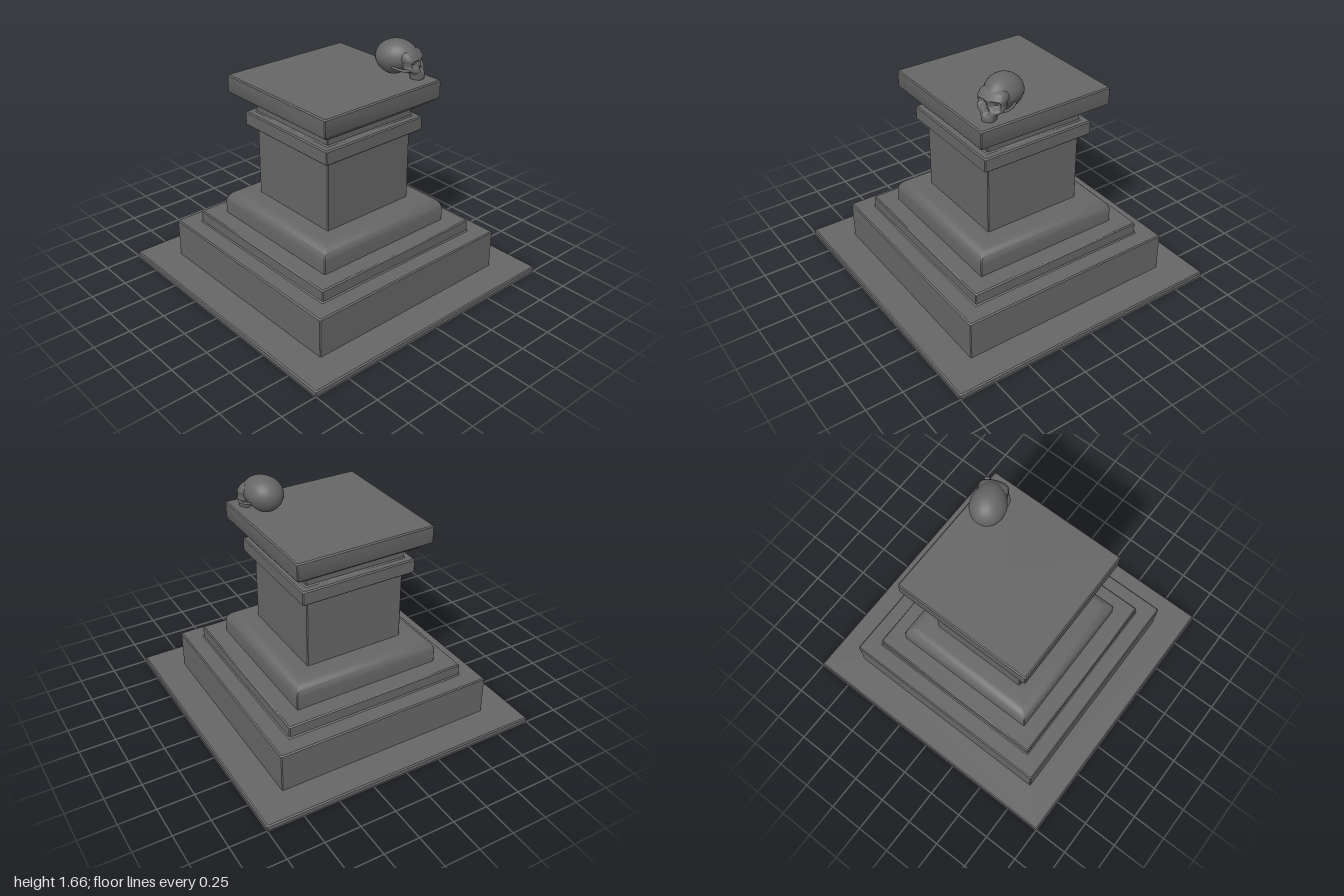
import * as THREE from 'three';
import { toCreasedNormals } from 'three/addons/utils/BufferGeometryUtils.js';

const stone = new THREE.MeshStandardMaterial({ color: 0x666666, side: THREE.DoubleSide });
stone.name = 'dark stone';

// Skin a stack of closed rings (each an array of [x, y, z]), from bottom to top
function loft(rings, crease) {
  const n = rings[0].length, index = [];
  for (let i = 0; i < rings.length - 1; i++) {
    for (let j = 0; j < n; j++) {
      const k = (j + 1) % n;
      const a = i * n + j, b = i * n + k, c = b + n, d = a + n;
      index.push(a, d, c, a, c, b);
    }
  }
  const geo = new THREE.BufferGeometry();
  geo.setAttribute('position', new THREE.Float32BufferAttribute(rings.flat(2), 3));
  geo.setIndex(index);
  return toCreasedNormals(geo, crease);
}

// Square ring with slightly chamfered corners
function squareRing([h, y]) {
  const s = h - Math.min(0.006, h);
  return [[h, s], [s, h], [-s, h], [-h, s], [-h, -s], [-s, -h], [s, -h], [h, -s]]
    .map(([x, z]) => [x, y, z]);
}

// Soften the inner points of a profile with small bevels
function bevel(profile, r) {
  return profile.flatMap((p, i) => {
    if (i === 0 || i === profile.length - 1) return [p];
    return [profile[i - 1], profile[i + 1]].map((q) => {
      const d = Math.hypot(q[0] - p[0], q[1] - p[1]);
      const t = Math.min(r / d, 0.4);
      return [p[0] + (q[0] - p[0]) * t, p[1] + (q[1] - p[1]) * t];
    });
  });
}

function add(parent, name, geo) {
  const mesh = new THREE.Mesh(geo, stone);
  mesh.name = name;
  parent.add(mesh);
  return mesh;
}

// Hollow pedestal sections as [half width, height]; each starts where the last ends
const sections = {
  basePlate: [[1, 0], [1, 0.035], [0.78, 0.035]],
  lowerSteps: [[0.78, 0.035], [0.78, 0.31], [0.655, 0.31], [0.655, 0.395], [0.53, 0.395]],
  shoulder: [[0.53, 0.395], [0.53, 0.495], [0.518, 0.523], [0.492, 0.553], [0.465, 0.565], [0.356, 0.565]],
  shaft: [[0.356, 0.565], [0.356, 1.065]],
  collar: [[0.356, 1.065], [0.413, 1.065], [0.413, 1.165], [0.36, 1.165], [0.36, 1.223]],
  capital: [[0.36, 1.223], [0.392, 1.228], [0.49, 1.3], [0.49, 1.42], [0, 1.42]],
};

// Cranium: an egg, narrower at the front, with a flattened, rising base
function craniumGeometry() {
  const geo = new THREE.SphereGeometry(1, 32, 24);
  const p = geo.attributes.position;
  for (let i = 0; i < p.count; i++) {
    const x = p.getX(i), y = p.getY(i), z = p.getZ(i);
    const low = y < 0 ? 0.122 - 0.035 * THREE.MathUtils.smoothstep(z, -0.3, 0.7) : 0.118;
    const width = 0.118 * (1 - 0.13 * z - 0.05 * z * z) * (y < 0 ? 1 + 0.16 * y : 1);
    p.setXYZ(i, x * width, 0.127 + y * low, -0.01 + z * 0.147);
  }
  geo.computeVertexNormals();
  return geo;
}

// Face: stacked rings [y, half width, front z, back z] with dents for sockets and nose
function faceGeometry() {
  const rows = [
    [0.004, 0.001, 0.13, 0.12], [0.004, 0.042, 0.176, 0.09], [0.028, 0.046, 0.178, 0.085],
    [0.048, 0.055, 0.172, 0.07], [0.064, 0.082, 0.164, 0.06], [0.08, 0.093, 0.158, 0.05],
    [0.1, 0.09, 0.156, 0.04], [0.12, 0.092, 0.156, 0.03], [0.138, 0.097, 0.153, 0.02],
    [0.152, 0.095, 0.143, 0.02], [0.175, 0.085, 0.126, 0.02], [0.2, 0.04, 0.08, 0.02],
  ];
  const curve = (k) => new THREE.CatmullRomCurve3(
    rows.map((r) => new THREE.Vector3(r[0], r[k], 0)), false, 'centripetal');
  const curves = [1, 2, 3].map(curve);
  const dent = (x, y, cx, cy, rx, ry, depth) =>
    depth * Math.exp(-(((x - cx) / rx) ** 4) - ((y - cy) / ry) ** 4);
  const rings = [];
  for (let i = 0; i <= 33; i++) {
    const t = i / 33;
    const [w, f, b] = curves.map((c) => c.getPoint(t).y);
    const y = Math.max(curves[0].getPoint(t).x, 0.002);
    const ring = [];
    for (let j = 0; j < 48; j++) {
      const a = (j / 48) * Math.PI * 2, c = Math.cos(a), s = Math.sin(a);
      const x = w * Math.sign(c) * Math.abs(c) ** 0.8;
      let z = (f + b) / 2 + ((f - b) / 2) * Math.sign(s) * Math.abs(s) ** 0.7;
      if (s > 0) {
        z -= dent(Math.abs(x), y, 0.046, 0.107, 0.029, 0.023, 0.04);
        z -= dent(x, y, 0, 0.066, 0.015, 0.018, 0.025);
      }
      ring.push([x, y, z]);
    }
    rings.push(ring);
  }
  return loft(rings, 0.9);
}

export function createModel() {
  const model = new THREE.Group();
  model.name = 'pedestalWithSkull';

  const pedestal = new THREE.Group();
  pedestal.name = 'pedestal';
  model.add(pedestal);
  for (const [name, profile] of Object.entries(sections)) {
    add(pedestal, name, loft(bevel(profile, 0.008).map(squareRing), 0.6));
  }

  // Skull without a jaw, turned towards the front left corner of the top
  const skull = new THREE.Group();
  skull.name = 'skull';
  skull.position.set(0.345, 1.42, 0.245);
  skull.rotation.y = 0.38;
  model.add(skull);
  add(skull, 'cranium', craniumGeometry());
  add(skull, 'face', faceGeometry());
  for (const side of [1, -1]) {
    const arch = new THREE.CatmullRomCurve3([
      [0.076, 0.072, 0.125], [0.1, 0.074, 0.09], [0.108, 0.08, 0.045], [0.098, 0.085, 0],
    ].map(([x, y, z]) => new THREE.Vector3(x * side, y, z)));
    add(skull, side > 0 ? 'leftCheekbone' : 'rightCheekbone', new THREE.TubeGeometry(arch, 12, 0.009, 8));
  }
  return model;
}
